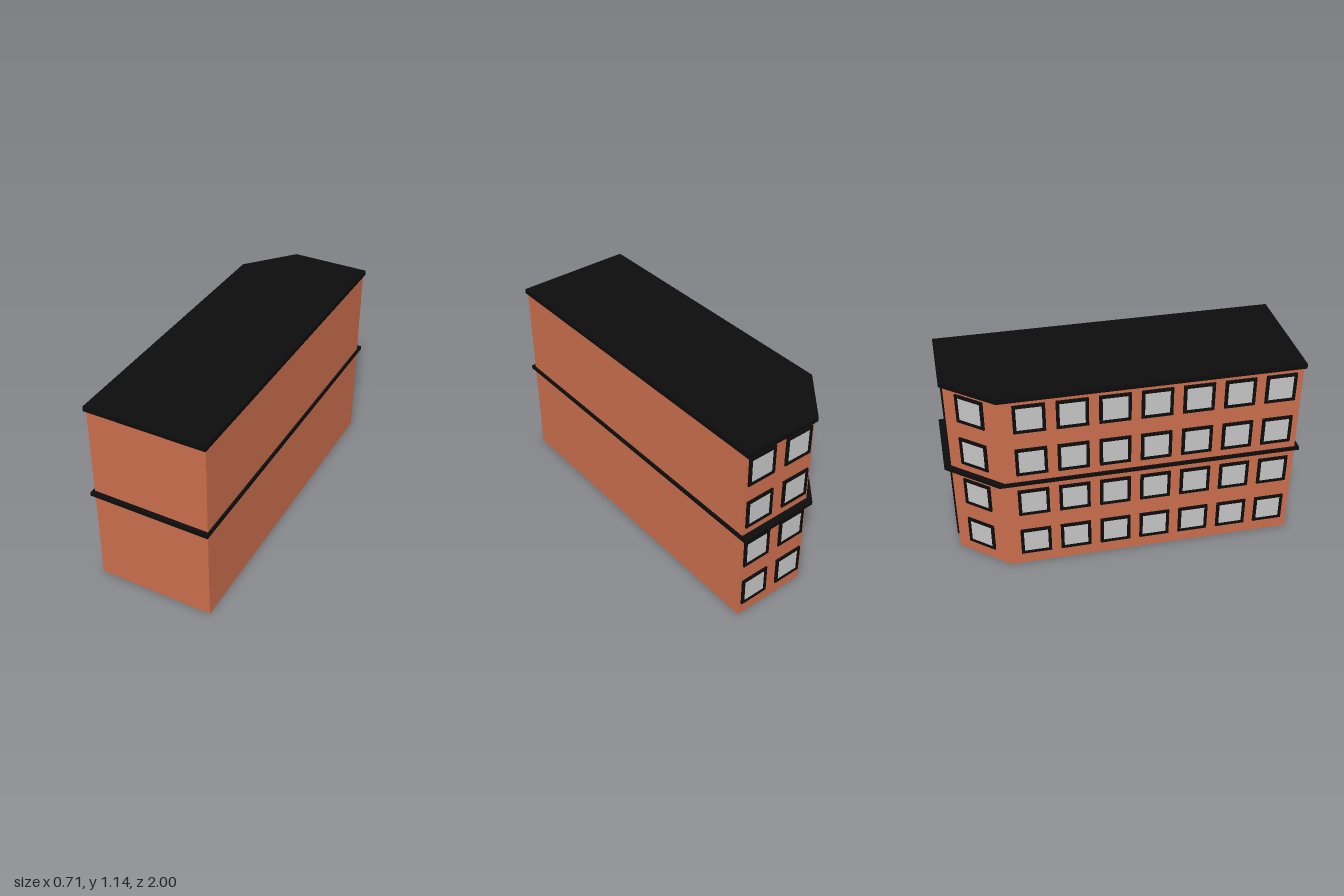
import * as THREE from 'three';

const brick = new THREE.MeshStandardMaterial({ color: 0xc96d4c });
brick.name = 'brick';
const black = new THREE.MeshStandardMaterial({ color: 0x0c0c0c });
black.name = 'black trim';
const glass = new THREE.MeshStandardMaterial({ color: 0xc4c4c4 });
glass.name = 'grey glass';

// Footprint corners as [x, z]; the back corner on -x is cut off
const bodyPlan = [[-0.343, 0.975], [0.34, 0.975], [0.34, -0.96], [-0.115, -0.96], [-0.343, -0.687]];
const roofPlan = [[-0.35, 0.99], [0.347, 0.99], [0.347, -0.98], [-0.118, -0.98], [-0.35, -0.703]];
const bandPlan = [[-0.355, 1], [0.352, 1], [0.352, -1], [-0.12, -1], [-0.355, -0.718]];

// Upright prism over a footprint, from y0 to y1
function prism(name, plan, y0, y1, material) {
  const shape = new THREE.Shape(plan.map(([x, z]) => new THREE.Vector2(x, -z)));
  const geometry = new THREE.ExtrudeGeometry(shape, { depth: y1 - y0, bevelEnabled: false });
  geometry.rotateX(-Math.PI / 2).translate(0, y0, 0);
  const mesh = new THREE.Mesh(geometry, material);
  mesh.name = name;
  return mesh;
}

// Square window frame with an opening, and the pane set inside it
const SIZE = 0.175, BAR = 0.018;
function square(Type, half) {
  return new Type([[-half, -half], [half, -half], [half, half], [-half, half]]
    .map(([x, y]) => new THREE.Vector2(x, y)));
}
const frameShape = square(THREE.Shape, SIZE / 2);
frameShape.holes.push(square(THREE.Path, SIZE / 2 - BAR));
const frameGeometry = new THREE.ExtrudeGeometry(frameShape, { depth: 0.0095, bevelEnabled: false });
const paneGeometry = new THREE.BoxGeometry(SIZE - 2 * BAR, SIZE - 2 * BAR, 0.006).translate(0, 0, 0.003);

function makeWindow(x, y, z, turn) {
  const group = new THREE.Group();
  group.name = 'window';
  const frame = new THREE.Mesh(frameGeometry, black);
  frame.name = 'windowFrame';
  const pane = new THREE.Mesh(paneGeometry, glass);
  pane.name = 'windowPane';
  group.add(frame, pane);
  group.position.set(x, y, z);
  group.rotation.y = turn;
  return group;
}

export function createModel() {
  const model = new THREE.Group();
  model.name = 'building';

  model.add(
    prism('walls', bodyPlan, 0, 1.12, brick),
    prism('middleBand', bandPlan, 0.572, 0.593, black),
    prism('roof', roofPlan, 1.117, 1.145, black),
  );

  // Four storeys of windows on the long side, the cut corner and the back
  const cornerTurn = Math.atan2(-0.273, -0.228);
  for (const y of [0.163, 0.447, 0.728, 1.008]) {
    for (let i = 0; i < 7; i++) {
      model.add(makeWindow(-0.343, y, -0.535 + 0.231 * i, -Math.PI / 2));
    }
    model.add(makeWindow(-0.2226, y, -0.8312, cornerTurn));
    for (const x of [0.236, -0.01]) model.add(makeWindow(x, y, -0.96, Math.PI));
  }
  return model;
}
